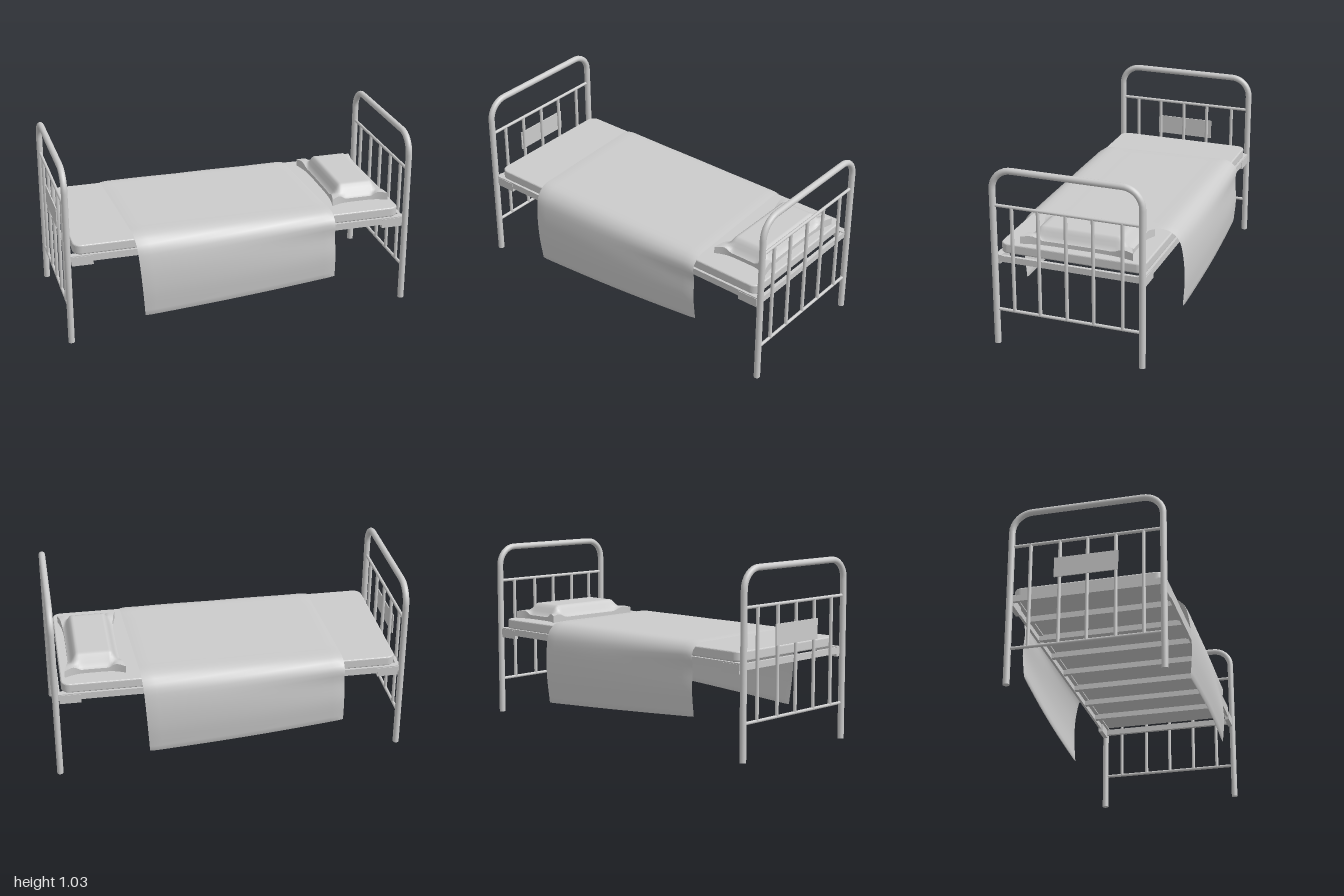
import * as THREE from 'three';

const mat = new THREE.MeshStandardMaterial({ color: 0xcccccc });
const clothMat = new THREE.MeshStandardMaterial({ color: 0xcccccc, side: THREE.DoubleSide });
const V = (x, y, z) => new THREE.Vector3(x, y, z);
const lerp = THREE.MathUtils.lerp;
const smooth = (t) => THREE.MathUtils.smoothstep(t, 0, 1);

function add(parent, name, geometry, x = 0, y = 0, z = 0, material = mat) {
  const mesh = new THREE.Mesh(geometry, material);
  mesh.name = name;
  mesh.position.set(x, y, z);
  parent.add(mesh);
  return mesh;
}
// Box given by its centre x, z, its bottom and top, and its width and depth
const box = (parent, name, x, z, y0, y1, w, d) =>
  add(parent, name, new THREE.BoxGeometry(w, y1 - y0, d), x, (y0 + y1) / 2, z);

// Bent tube frame with two rails and five bars
function bedEnd(name, x) {
  const g = new THREE.Group();
  g.name = name;
  g.position.set(x, 0, 0.004);
  const w = 0.418, top = 1.012, r = 0.11, k = r * 0.45, tube = 0.018;
  const path = new THREE.CurvePath();
  path.add(new THREE.LineCurve3(V(0, 0, w), V(0, top - r, w)));
  path.add(new THREE.CubicBezierCurve3(V(0, top - r, w), V(0, top - k, w), V(0, top, w - k), V(0, top, w - r)));
  path.add(new THREE.LineCurve3(V(0, top, w - r), V(0, top, r - w)));
  path.add(new THREE.CubicBezierCurve3(V(0, top, r - w), V(0, top, k - w), V(0, top - k, -w), V(0, top - r, -w)));
  path.add(new THREE.LineCurve3(V(0, top - r, -w), V(0, 0, -w)));
  add(g, 'bentTube', new THREE.TubeGeometry(path, 120, tube, 16));
  for (const s of [-1, 1]) {
    add(g, 'footCap', new THREE.CircleGeometry(tube, 16).rotateX(Math.PI / 2), 0, 0, s * w);
  }
  for (const y of [0.205, 0.81]) {
    add(g, 'crossRail', new THREE.CylinderGeometry(0.009, 0.009, 2 * w, 12).rotateX(Math.PI / 2), 0, y, 0);
  }
  for (const z of [0.311, 0.161, 0.006, -0.146, -0.309]) {
    add(g, 'verticalBar', new THREE.CylinderGeometry(0.01, 0.01, 0.605, 12), 0, 0.5075, z);
  }
  return g;
}

// Side rails, cross slats and corner brackets
function bedBase() {
  const g = new THREE.Group();
  g.name = 'bedBase';
  for (const s of [-1, 1]) {
    box(g, 'sideRail', 0, s * 0.415, 0.483, 0.522, 1.95, 0.014);
    box(g, 'sideRailFlange', 0, s * 0.4, 0.515, 0.522, 1.95, 0.03);
    box(g, 'endRail', s * 0.965, 0, 0.483, 0.518, 0.02, 0.82);
    for (const t of [-1, 1]) box(g, 'cornerBracket', s * 0.9, t * 0.412, 0.464, 0.516, 0.12, 0.026);
  }
  for (let i = -3; i <= 3; i++) box(g, 'slat', i * 0.235, 0, 0.487, 0.52, 0.028, 0.82);
  return g;
}

// Thin mattress with rounded corners in plan and a soft edge
function mattressGeometry() {
  const b = 0.008, w = 0.945 - b, d = 0.412 - b, r = 0.04;
  const s = new THREE.Shape();
  s.absarc(w - r, d - r, r, 0, Math.PI / 2);
  s.absarc(r - w, d - r, r, Math.PI / 2, Math.PI);
  s.absarc(r - w, r - d, r, Math.PI, Math.PI * 1.5);
  s.absarc(w - r, r - d, r, Math.PI * 1.5, Math.PI * 2);
  return new THREE.ExtrudeGeometry(s, {
    depth: 0.056 - 2 * b, bevelSize: b, bevelThickness: b, bevelSegments: 3, curveSegments: 8,
  }).rotateX(-Math.PI / 2).translate(0, 0.522 + b, 0);
}

// Pillow: flat plateau, sloping margins and pulled-out corners
function pillowGeometry() {
  const g = new THREE.BoxGeometry(2, 2, 2, 28, 1, 40);
  const p = g.attributes.position;
  for (let i = 0; i < p.count; i++) {
    const u = p.getX(i), v = p.getZ(i), a = Math.abs(u), b = Math.abs(v);
    const corner = (a * b) ** 5;
    const rise = smooth((1 - a) / 0.36) * smooth((1 - b) / 0.24);
    const ear = 0.03 * smooth((a - 0.5) / 0.35) * smooth((b - 0.65) / 0.25) * (1 - 0.4 * corner);
    const y = p.getY(i) > 0 ? 0.602 + Math.max(0.068 * rise, ear) : 0.579;
    p.setXYZ(i, u * (0.143 + 0.027 * corner), y, v * (0.288 + 0.032 * corner));
  }
  g.computeVertexNormals();
  return g;
}

// Blanket laid slightly askew: cross-sections of a draped cloth lofted along x
function blanketGeometry() {
  const n = 32, m = 56, thick = 0.008;
  // One cross-section; front and back hems hang to different heights
  const section = (u, inset) => {
    const side = (s) => {
      const t = s > 0 ? u : 1 - u;
      const low = lerp(0.13, 0.2, t);
      const out = lerp(0.07, 0.034, t) + 0.012 * Math.sin(Math.PI * t);
      const z = 0.415 + out - inset;
      return [
        V(0, 0.58, s * (z - 0.012)).setY(low),
        V(0, lerp(low, 0.55, 0.4), s * z),
        V(0, lerp(low, 0.55, 0.75), s * (z - 0.008)),
        V(0, 0.54, s * (0.44 - inset + out * 0.2)),
        V(0, 0.58 - inset, s * (0.417 - inset)),
        V(0, 0.594 - inset, s * 0.385),
        V(0, 0.597 - inset, s * 0.25),
      ];
    };
    const curve = new THREE.CatmullRomCurve3([...side(1), ...side(-1).reverse()], false, 'centripetal');
    return curve.getSpacedPoints(m);
  };
  const pos = [], idx = [], ring = 2 * (m + 1);
  for (let i = 0; i <= n; i++) {
    const u = i / n, end = i === 0 || i === n;
    const outer = section(u, end ? thick / 2 : 0);
    const inner = end ? outer : section(u, thick);
    for (const q of [...outer, ...[...inner].reverse()]) {
      const f = THREE.MathUtils.clamp((q.z + 0.47) / 0.94, 0, 1);
      const drop = Math.max(0, 0.58 - q.y);
      const left = lerp(-0.645, -0.605, f) + (f > 0.5 ? 0.08 : -0.02) * drop;
      const right = lerp(0.5, 0.548, f) + (f > 0.5 ? 0.03 : -0.06) * drop;
      pos.push(lerp(left, right, u), q.y, q.z);
    }
    if (i === n) break;
    for (let j = 0; j < ring; j++) {
      const a = i * ring + j, b = i * ring + (j + 1) % ring;
      idx.push(a, a + ring, b, b, a + ring, b + ring);
    }
  }
  const g = new THREE.BufferGeometry();
  g.setAttribute('position', new THREE.Float32BufferAttribute(pos, 3));
  g.setIndex(idx);
  // Make the winding face outwards: the first top face must look up
  g.computeVertexNormals();
  const mid = Math.floor(n / 2) * ring + Math.floor(m / 2);
  if (g.attributes.normal.getY(mid) < 0) {
    for (let i = 0; i < idx.length; i += 3) [idx[i], idx[i + 1]] = [idx[i + 1], idx[i]];
    g.setIndex(idx);
    g.computeVertexNormals();
  }
  return g;
}

export function createModel() {
  const bed = new THREE.Group();
  bed.name = 'bed';
  bed.add(bedEnd('headboard', 0.982), bedEnd('footboard', -0.982), bedBase());
  add(bed, 'mattress', mattressGeometry());
  add(bed, 'pillow', pillowGeometry(), 0.75, 0, -0.02);
  add(bed, 'blanket', blanketGeometry(), 0, 0, 0, clothMat);
  // Blank board fixed to the outside of the footboard bars
  box(bed, 'footBoardPlate', -0.993, 0.005, 0.59, 0.705, 0.006, 0.35);
  return bed;
}
